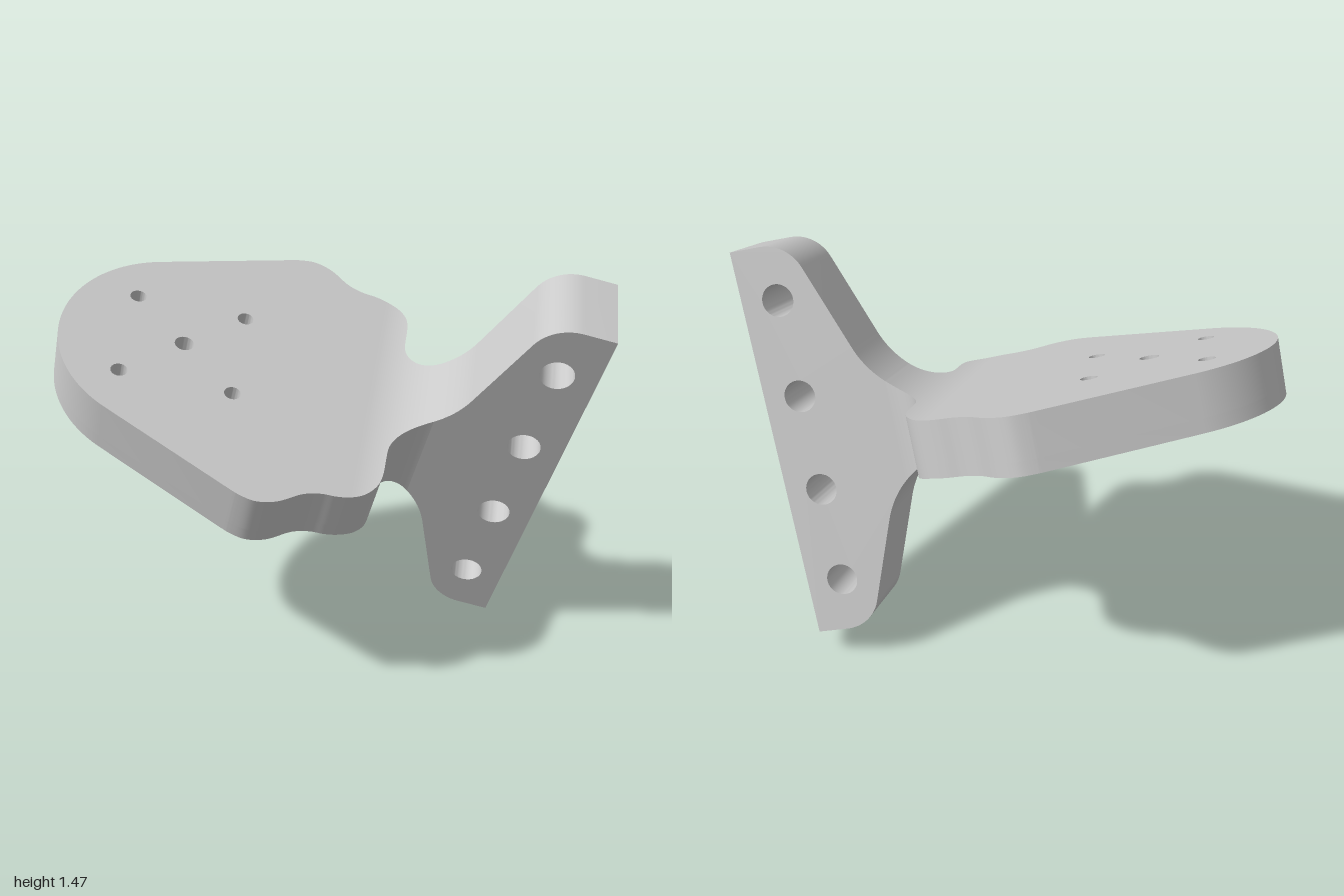
import * as THREE from 'three';
import { toCreasedNormals } from 'three/addons/utils/BufferGeometryUtils.js';

const rad = THREE.MathUtils.degToRad;
const V2 = (x, y) => new THREE.Vector2(x, y);

// Local frame: x runs out to the spine (x = 0), y is the paddle normal, z the bracket thickness.
const PADDLE = { x: -1.395, r: 0.449, half: 0.1, recessR: 0.422, recessDepth: 0.05 };
const HALF_THICK = 0.156;   // half thickness of the bracket
const FILLET = { x: -0.70, y: 0.45, r: 0.35 };   // blend from paddle to bracket
const JOIN = -0.47;         // where the neck meets the bracket

const filletHeight = x => FILLET.y - Math.sqrt(FILLET.r ** 2 - (x - FILLET.x) ** 2);

// Holes wind opposite to the clockwise outlines, so their walls face inward
function circle(x, y, r) {
  return new THREE.Path().absarc(x, y, r, 0, Math.PI * 2, false);
}

// Scalloped shoulder, as [x, half width]
function shoulder() {
  const ctrl = [[-1.10, 0.628], [-1.07, 0.64], [-1.011, 0.651], [-0.942, 0.63], [-0.858, 0.566],
    [-0.80, 0.545], [-0.747, 0.54], [-0.70, 0.527], [-0.654, 0.5], [-0.62, 0.455], [-0.608, 0.41], [-0.605, 0.30]];
  const split = 7, n = 6;
  const pts = new THREE.CatmullRomCurve3(ctrl.map(([x, w]) => new THREE.Vector3(x, w, 0)))
    .getPoints(n * (ctrl.length - 1)).map(p => V2(p.x, p.y));
  return { front: pts.slice(0, split * n + 1), back: pts.slice(split * n) };
}

// Flat slab cut to the paddle outline, from y0 to y1
function slab(front, holes, y0, y1) {
  const half = [];
  for (let i = 0; i <= 24; i++) {
    const t = rad(180 - (64.8 * i) / 24);
    half.push(V2(PADDLE.x + PADDLE.r * Math.cos(t), i ? PADDLE.r * Math.sin(t) : 0));
  }
  half.push(...front);
  const mirrored = half.slice(1).reverse().map(p => V2(p.x, -p.y));
  const shape = new THREE.Shape([...half, ...mirrored]);
  shape.holes = holes;
  const geo = new THREE.ExtrudeGeometry(shape, { depth: y1 - y0, bevelEnabled: false, curveSegments: 24 });
  geo.rotateX(-Math.PI / 2).translate(0, y0, 0);
  return toCreasedNormals(geo, 0.5);
}

// Neck: rectangular sections whose width and height both vary along x
function neckGeometry(back) {
  const sections = [...back];
  const r = 0.135;
  for (let i = 0; i <= 12; i++) {
    const t = (Math.PI / 2) * (i / 12);
    sections.push(V2(JOIN - r * Math.cos(t), HALF_THICK + r - r * Math.sin(t)));
  }
  const pos = [], index = [];
  sections.forEach(({ x, y: w }, i) => {
    const h = filletHeight(x);
    pos.push(x, h, w, x, -h, w, x, -h, -w, x, h, -w);
    if (!i) return;
    for (let j = 0; j < 4; j++) {
      const k = (j + 1) % 4, p = (i - 1) * 4, q = i * 4;
      index.push(p + j, p + k, q + k, p + j, q + k, q + j);
    }
  });
  const geo = new THREE.BufferGeometry();
  geo.setAttribute('position', new THREE.Float32BufferAttribute(pos, 3));
  geo.setIndex(index);
  return toCreasedNormals(geo, 0.5);
}

// Bracket: tapered profile with rounded shoulders and four bolt holes
function bracketGeometry() {
  const upper = [];
  const end = 69, start = THREE.MathUtils.radToDeg(Math.asin((JOIN - FILLET.x) / FILLET.r));
  for (let i = 0; i <= 10; i++) {
    const t = rad(start + ((end - start) * i) / 10);
    upper.push(V2(FILLET.x + FILLET.r * Math.sin(t), FILLET.y - FILLET.r * Math.cos(t)));
  }
  const top = 0.73, r = 0.15;
  for (let i = 0; i <= 12; i++) {
    const t = rad(90 + end * (1 - i / 12));
    upper.push(V2(-0.115 + r * Math.cos(t), top - r + r * Math.sin(t)));
  }
  upper.push(V2(0, top));
  const lower = [...upper].reverse().map(p => V2(p.x, -p.y));
  const shape = new THREE.Shape([...upper, ...lower]);
  shape.holes = [-0.533, -0.178, 0.178, 0.533].map(y => circle(-0.138, y, 0.059));
  const geo = new THREE.ExtrudeGeometry(shape, { depth: HALF_THICK * 2, bevelEnabled: false, curveSegments: 24 });
  geo.translate(0, 0, -HALF_THICK);
  return toCreasedNormals(geo, 0.5);
}

export function createModel() {
  const grey = new THREE.MeshStandardMaterial({ color: 0xc8c8c8 });
  grey.name = 'plain grey';
  const model = new THREE.Group();
  model.name = 'paddleBracket';
  const add = (name, geo) => {
    const mesh = new THREE.Mesh(geo, grey);
    mesh.name = name;
    model.add(mesh);
  };

  const { front, back } = shoulder();

  // Centre hole and four holes on a bolt circle
  const holes = [circle(PADDLE.x, 0, 0.035)];
  for (let i = 0; i < 4; i++) {
    const t = rad(-40.7 + 90 * i);
    holes.push(circle(PADDLE.x + 0.285 * Math.cos(t), 0.285 * Math.sin(t), 0.03));
  }
  const floor = -PADDLE.half + PADDLE.recessDepth;
  add('paddlePlate', slab(front, holes, floor, PADDLE.half));

  // Lower layer is open around the round recess
  add('paddleRim', slab(front, [circle(PADDLE.x, 0, PADDLE.recessR)], -PADDLE.half, floor));

  add('neck', neckGeometry(back));
  add('bracket', bracketGeometry());

  // Tilt the whole part into place
  model.rotation.set(rad(18.3), 0, rad(-15.2));
  model.position.set(0.808, 0.716, -0.082);

  const root = new THREE.Group();
  root.name = 'model';
  root.add(model);
  return root;
}
